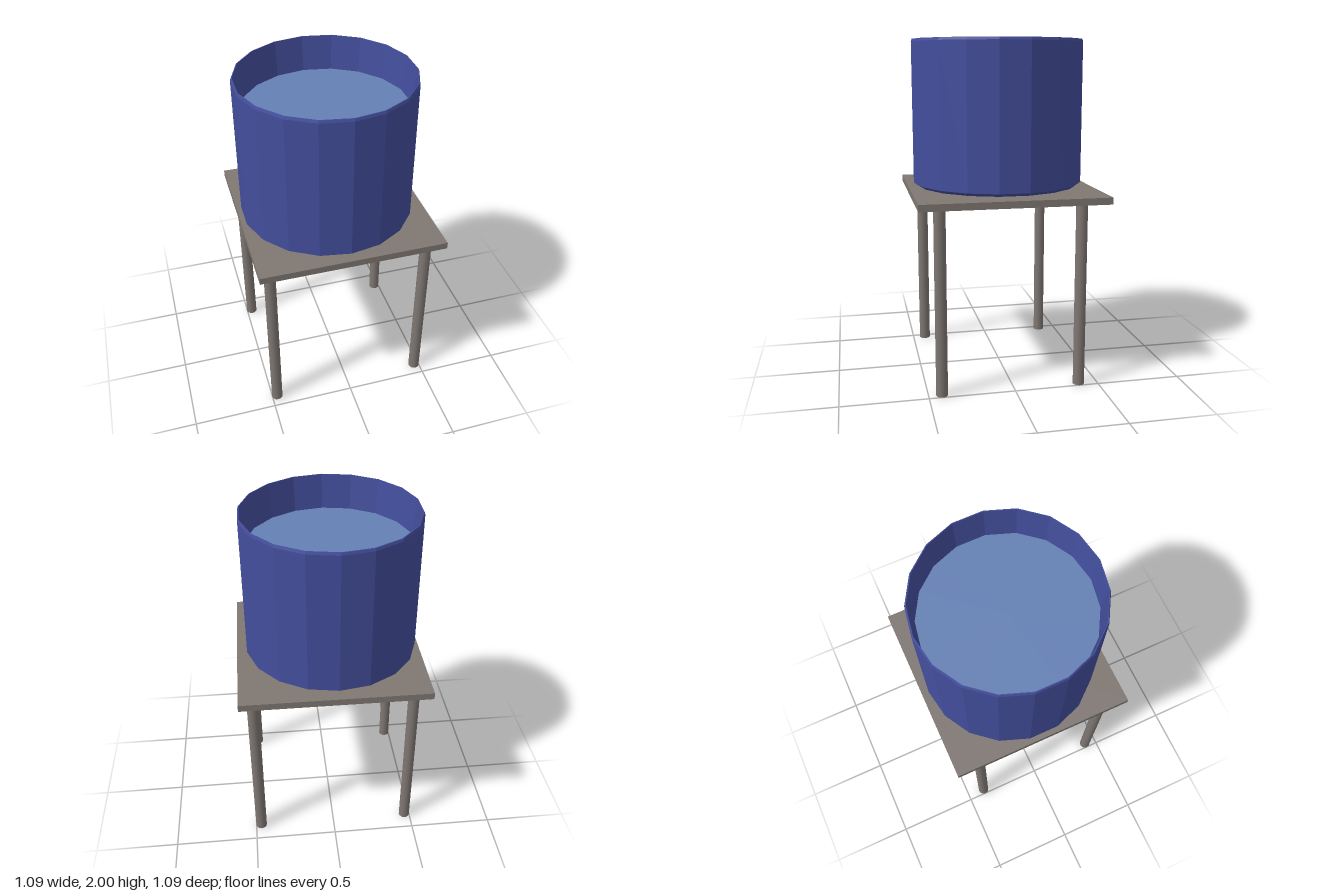
import * as THREE from 'three';

export function createModel() {
  const model = new THREE.Group();
  const wood = new THREE.MeshStandardMaterial({ color: 0x7f7772 });
  const blue = new THREE.MeshStandardMaterial({ color: 0x434e9c, flatShading: true, side: THREE.DoubleSide });
  const water = new THREE.MeshStandardMaterial({ color: 0x6480b4 });

  const add = (name, geometry, material, x, y, z) => {
    const mesh = new THREE.Mesh(geometry, material);
    mesh.name = name;
    mesh.position.set(x, y, z);
    model.add(mesh);
  };

  // Platform
  add('platform', new THREE.BoxGeometry(1.09, 0.04, 1.09), wood, 0, 1.105, 0);

  // Four round legs, set slightly forward
  const legGeometry = new THREE.CylinderGeometry(0.034, 0.034, 1.085, 12);
  for (const [side, x] of [['Left', 0.468], ['Right', -0.468]]) {
    for (const [end, z] of [['front', 0.423], ['back', -0.388]]) {
      add(`${end}${side}Leg`, legGeometry, wood, x, 0.5425, z);
    }
  }

  // Open tank: bevelled foot, straight outside, tapering inner wall, floor
  const profile = [
    [0, 1.126], [0.38, 1.126], [0.485, 1.137], [0.51, 1.155], [0.51, 1.985],
    [0.505, 2], [0.5, 2], [0.48, 1.79], [0.48, 1.17], [0, 1.17],
  ].map(([r, y]) => new THREE.Vector2(r, y));
  add('tank', new THREE.LatheGeometry(profile, 18), blue, -0.018, 0, 0.005);

  // Water surface, corners matching the tank
  const surface = new THREE.CircleGeometry(0.481, 18, Math.PI / 2).rotateX(-Math.PI / 2);
  add('water', surface, water, -0.018, 1.795, 0.005);

  return model;
}
